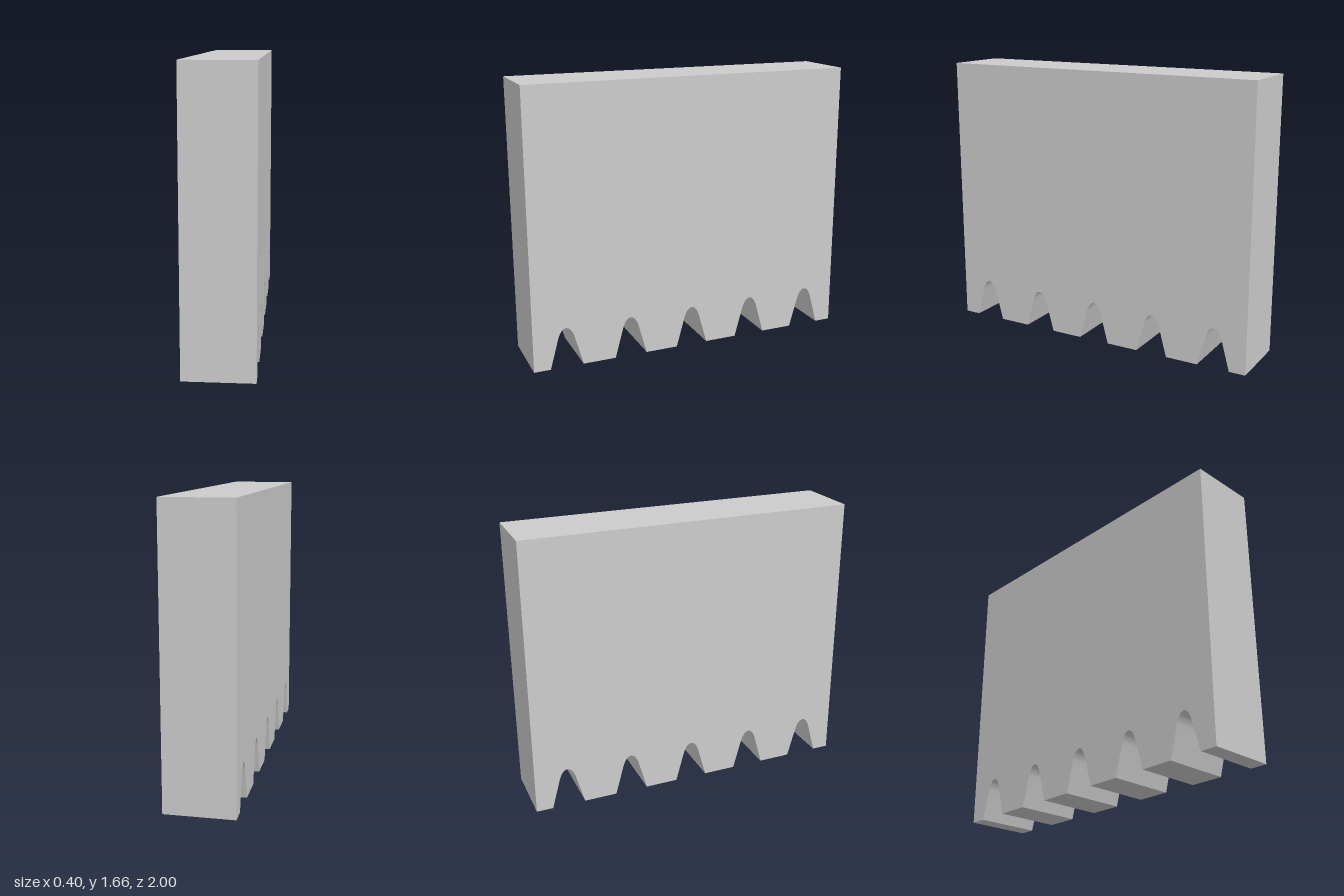
import * as THREE from 'three';
import { toCreasedNormals } from 'three/addons/utils/BufferGeometryUtils.js';

const HEIGHT = 1.665, THICKNESS = 0.4;
const NOTCH_CENTRES = [-0.8, -0.4, 0, 0.4, 0.8];

// Slab outline, with round-topped, flared notches along the bottom edge
function slabProfile() {
  const s = new THREE.Shape();
  s.moveTo(-1, 0);
  for (const c of NOTCH_CENTRES) {
    s.lineTo(c - 0.1, 0);
    s.lineTo(c - 0.051, 0.178);
    s.bezierCurveTo(c - 0.04, 0.218, c - 0.022, 0.245, c, 0.245);
    s.bezierCurveTo(c + 0.022, 0.245, c + 0.04, 0.218, c + 0.051, 0.178);
    s.lineTo(c + 0.1, 0);
  }
  s.lineTo(1, 0);
  s.lineTo(1, HEIGHT);
  s.lineTo(-1, HEIGHT);
  s.closePath();
  return s;
}

export function createModel() {
  const group = new THREE.Group();
  group.name = 'notchedPanel';

  // Extrude the outline through the thickness, then turn its length along z
  const geometry = new THREE.ExtrudeGeometry(slabProfile(), {
    depth: THICKNESS, bevelEnabled: false, curveSegments: 10,
  });
  geometry.translate(0, 0, -THICKNESS / 2);
  geometry.rotateY(-Math.PI / 2);

  const slab = new THREE.Mesh(
    toCreasedNormals(geometry, 0.5),
    new THREE.MeshStandardMaterial({ color: 0xcccccc }),
  );
  slab.name = 'notchedSlab';
  group.add(slab);
  return group;
}
